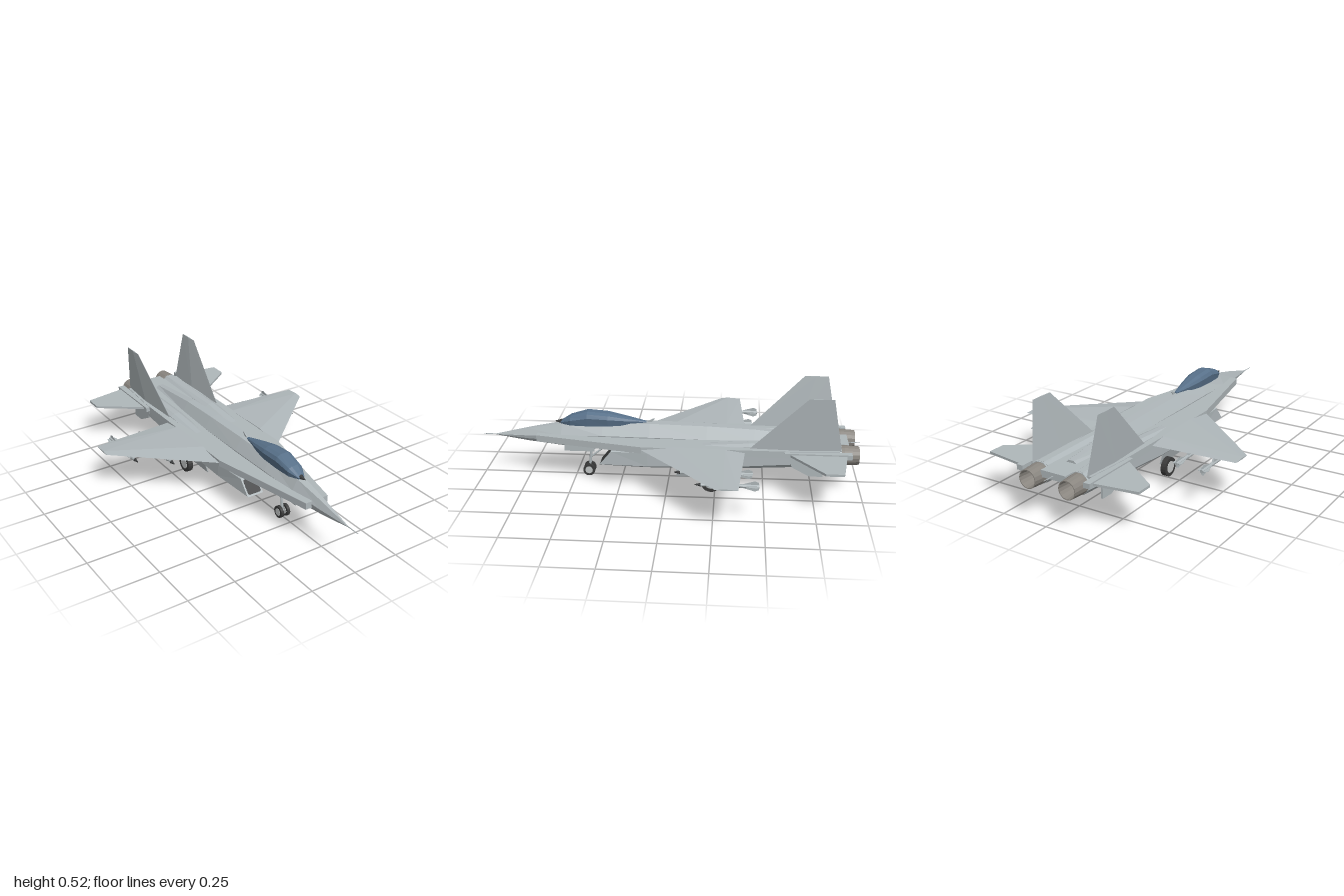
import * as THREE from 'three';
import { ConvexGeometry } from 'three/addons/geometries/ConvexGeometry.js';

const mat = (name, color, side = THREE.FrontSide) =>
  new THREE.MeshStandardMaterial({ name, color, side, flatShading: true });

// Skin over closed rings of [x, y, z], listed front to back, each anticlockwise seen from the front
function loft(rings) {
  const n = rings[0].length, index = [];
  rings.slice(1).forEach((_, i) => {
    for (let j = 0; j < n; j++) {
      const a = i * n + j, b = i * n + (j + 1) % n;
      index.push(a, a + n, b, b, a + n, b + n);
    }
  });
  const last = (rings.length - 1) * n;
  for (let j = 1; j < n - 1; j++) index.push(0, j, j + 1, last, last + j + 1, last + j);
  const g = new THREE.BufferGeometry();
  g.setAttribute('position', new THREE.Float32BufferAttribute(rings.flat(2), 3));
  g.setIndex(index);
  g.computeVertexNormals();
  return g;
}

// Eight-sided ring; chamfer 0.586 gives a regular octagon, slant pushes the lower edge forward
function ring(z, cx, cy, hw, hh, c, slant = 0) {
  const k = 1 - c;
  return [[1, -k], [1, k], [k, 1], [-k, 1], [-1, k], [-1, -k], [-k, -1], [k, -1]]
    .map(([u, v]) => [cx + u * hw, cy + v * hh, z - v * slant]);
}

const hull = (pts) => new ConvexGeometry(pts.map((p) => new THREE.Vector3(...p)));

// Flat plate from a side outline of [y, z] at x, or a plan outline of [x, z] at y
const sidePlate = (x, t, pts) => hull(pts.flatMap(([y, z]) => [[x - t, y, z], [x + t, y, z]]));
const planPlate = (y, t, pts) => hull(pts.flatMap(([x, z]) => [[x, y - t, z], [x, y + t, z]]));

const box = (x0, x1, y0, y1, z0, z1) => new THREE.BoxGeometry(x1 - x0, y1 - y0, z1 - z0)
  .translate((x0 + x1) / 2, (y0 + y1) / 2, (z0 + z1) / 2);

// Round bar from p (radius r0) to q (radius r1)
function rod(p, q, r0, r1 = r0, sides = 10) {
  const a = new THREE.Vector3(...p), b = new THREE.Vector3(...q), d = b.clone().sub(a);
  const g = new THREE.CylinderGeometry(r1, r0, d.length(), sides);
  g.applyQuaternion(new THREE.Quaternion().setFromUnitVectors(new THREE.Vector3(0, 1, 0), d.normalize()));
  return g.translate(...a.add(b).multiplyScalar(0.5).toArray());
}

// Mirror across x = 0, keeping faces outward
function mirror(geo) {
  const g = geo.index ? geo.toNonIndexed() : geo.clone(), p = g.attributes.position;
  for (let i = 0; i < p.count; i += 3) {
    const v = [0, 2, 1].map((k) => new THREE.Vector3().fromBufferAttribute(p, i + k));
    v.forEach((q, k) => p.setXYZ(i + k, -q.x, q.y, q.z));
  }
  g.computeVertexNormals();
  return g;
}

export function createModel() {
  const model = new THREE.Group();
  model.name = 'jetFighter';
  const skin = mat('airframeGrey', 0xafb7ba);
  const glass = mat('canopyBlue', 0x58718a);
  const dark = mat('intakeBlack', 0x3b3c3d, THREE.DoubleSide);
  const rubber = mat('tyreBlack', 0x3a3a3a);
  const hubMat = mat('hubGrey', 0xc3c6c6);
  const metal = mat('nozzleMetal', 0x8a8680, THREE.DoubleSide);
  const add = (name, geo, m) => {
    const mesh = new THREE.Mesh(geo, m);
    mesh.name = name;
    model.add(mesh);
  };
  const pair = (name, geo, m) => {
    add(name + 'Left', geo, m);
    add(name + 'Right', mirror(geo), m);
  };

  // Fuselage: [z, half width, top, middle, bottom]
  const body = [
    [0.93, 0.003, 0.217, 0.215, 0.212], [0.75, 0.027, 0.258, 0.222, 0.186],
    [0.57, 0.05, 0.293, 0.235, 0.168], [0.35, 0.062, 0.302, 0.245, 0.155],
    [0.1, 0.066, 0.308, 0.245, 0.152], [-0.2, 0.062, 0.302, 0.24, 0.165],
    [-0.45, 0.052, 0.29, 0.238, 0.19], [-0.8, 0.035, 0.252, 0.235, 0.21],
  ];
  add('fuselage', loft(body.map(([z, w, t, m, b]) => {
    const low = m + (b - m) * 0.5;
    return [[0.85 * w, low, z], [w, m, z], [0.4 * w, t, z], [-0.4 * w, t, z],
      [-w, m, z], [-0.85 * w, low, z], [-0.3 * w, b, z], [0.3 * w, b, z]];
  })), skin);
  add('nosePitot', rod([0, 0.215, 0.92], [0, 0.215, 1], 0.003, 0.0015, 6), skin);
  add('tailProbe', rod([0, 0.225, -0.92], [0, 0.225, -1], 0.002, 0.002, 6), skin);
  add('noseSensor', rod([0, 0.3, 0.57], [0, 0.3, 0.605], 0.013, 0.002, 8), dark);
  add('spineAntenna', sidePlate(0, 0.002, [[0.3, 0.13], [0.3, 0.1], [0.328, 0.085], [0.328, 0.075]]), skin);

  // Canopy: [z, half width, top, shoulder, sill]
  add('canopy', loft([
    [0.575, 0.018, 0.304, 0.3, 0.292], [0.52, 0.044, 0.338, 0.318, 0.29], [0.43, 0.05, 0.365, 0.335, 0.29],
    [0.32, 0.049, 0.357, 0.33, 0.292], [0.22, 0.032, 0.336, 0.32, 0.296], [0.12, 0.008, 0.313, 0.311, 0.3],
  ].map(([z, w, t, m, b]) => [[0.85 * w, b, z], [w, m, z], [0.8 * w, (m + t * 2) / 3, z], [0.4 * w, t, z],
    [-0.4 * w, t, z], [-0.8 * w, (m + t * 2) / 3, z], [-w, m, z], [-0.85 * w, b, z]])), glass);

  // Flat lifting body with leading edge extensions
  const plan = [[0.065, 0.7], [0.185, 0.13], [0.185, -0.64], [0.17, -0.88], [0.07, -0.88], [0.07, -0.935]];
  const outline = [...plan, ...plan.map(([x, z]) => [-x, z]).reverse()];
  const deck = new THREE.ExtrudeGeometry(
    new THREE.Shape(outline.map(([x, z]) => new THREE.Vector2(x, -z))),
    { depth: 0.035, bevelEnabled: false });
  add('centreDeck', deck.rotateX(-Math.PI / 2).translate(0, 0.205, 0), skin);

  // Wings and tailplanes
  pair('wing', hull([
    [0.18, 0.224, 0.135], [0.18, 0.244, -0.03], [0.18, 0.206, -0.03], [0.18, 0.24, -0.3], [0.18, 0.21, -0.3],
    [0.18, 0.225, -0.4], [0.627, 0.225, -0.26], [0.627, 0.23, -0.3], [0.627, 0.221, -0.3], [0.627, 0.225, -0.37],
  ]), skin);
  pair('tailBoom', box(0.172, 0.207, 0.212, 0.238, -0.94, -0.6), skin);
  pair('tailplane', planPlate(0.225, 0.006,
    [[0.18, -0.61], [0.425, -0.79], [0.425, -0.88], [0.2, -0.915], [0.18, -0.9]]), skin);

  // Outward leaning fins, and small ventral fins
  pair('tailFin', hull([
    [0.155, 0.235, -0.42], [0.144, 0.235, -0.68], [0.167, 0.235, -0.68], [0.155, 0.235, -0.89],
    [0.183, 0.523, -0.71], [0.18, 0.523, -0.77], [0.186, 0.523, -0.77], [0.183, 0.523, -0.835],
  ]), skin);
  pair('ventralFin', sidePlate(0.17, 0.005,
    [[0.215, -0.62], [0.15, -0.64], [0.102, -0.73], [0.102, -0.8], [0.215, -0.8]]), skin);

  // Engine nacelles with slanted intakes, upper humps and nozzles
  pair('nacelle', loft([
    ring(0.32, 0.112, 0.163, 0.047, 0.04, 0.1, 0.033), ring(0.1, 0.118, 0.166, 0.056, 0.046, 0.2),
    ring(-0.3, 0.12, 0.178, 0.06, 0.052, 0.3), ring(-0.6, 0.116, 0.192, 0.058, 0.055, 0.45),
    ring(-0.89, 0.112, 0.2, 0.052, 0.052, 0.586),
  ]), skin);
  pair('intakeOpening', loft([
    ring(0.322, 0.112, 0.162, 0.038, 0.031, 0.15, 0.026), ring(0.314, 0.112, 0.162, 0.038, 0.031, 0.15, 0.026),
  ]), dark);
  pair('engineHump', loft([
    ring(-0.15, 0.115, 0.23, 0.03, 0.008, 0.5), ring(-0.42, 0.112, 0.235, 0.038, 0.02, 0.586),
    ring(-0.88, 0.111, 0.222, 0.043, 0.031, 0.586),
  ]), skin);
  const nozzle = new THREE.LatheGeometry([[0.05, 0], [0.052, 0.04], [0.047, 0.115], [0.043, 0.115], [0.036, 0.03]]
    .map(([r, y]) => new THREE.Vector2(r, y)), 16);
  pair('nozzle', nozzle.rotateX(-Math.PI / 2).translate(0.112, 0.2, -0.867), metal);
  pair('exhaust', rod([0.112, 0.2, -0.895], [0.112, 0.2, -0.9], 0.038, 0.038, 16), dark);

  // Missiles on pylons: [x, y, nose z, tail z]
  [[0.5, 0.19, -0.16, -0.47, 0.027], [0.345, 0.181, -0.05, -0.44, 0.026]].forEach(([x, y, nose, tail, span], i) => {
    const id = i ? 'inner' : 'outer';
    pair(id + 'Missile', rod([x, y, tail], [x, y, nose - 0.03], 0.009), skin);
    pair(id + 'MissileNose', rod([x, y, nose - 0.03], [x, y, nose], 0.009, 0.002), dark);
    pair(id + 'Pylon', sidePlate(x, 0.005,
      [[y, nose - 0.08], [y, tail + 0.1], [0.223, tail + 0.12], [0.223, nose - 0.06]]), skin);
    const finSets = [[tail + 0.002, tail + 0.02, tail + 0.085, span], [nose - 0.09, nose - 0.08, nose - 0.05, 0.02]];
    finSets.forEach(([back, wide, front, s], k) => {
      const shape = [[-0.7 * s, back], [0.7 * s, back], [s, wide], [-s, wide], [0.3 * s, front], [-0.3 * s, front]];
      const name = id + (k ? 'MissileCanard' : 'MissileFin');
      pair(name + 'Flat', planPlate(y, 0.001, shape.map(([u, z]) => [x + u, z])), skin);
      pair(name + 'Upright', sidePlate(x, 0.001, shape.map(([u, z]) => [y + u, z])), skin);
    });
  });

  // Landing gear
  const wheel = (name, x, y, z, r, w) => {
    pair(name + 'Tyre', rod([x - w, y, z], [x + w, y, z], r, r, 20), rubber);
    pair(name + 'Hub', rod([x - w - 0.002, y, z], [x + w + 0.002, y, z], r * 0.62, r * 0.62, 16), hubMat);
  };
  wheel('mainWheel', 0.17, 0.05, -0.23, 0.05, 0.014);
  wheel('noseWheel', 0.019, 0.032, 0.43, 0.032, 0.008);
  pair('mainStrut', rod([0.115, 0.14, -0.2], [0.152, 0.05, -0.23], 0.008), skin);
  pair('mainAxle', rod([0.148, 0.05, -0.23], [0.17, 0.05, -0.23], 0.008), skin);
  pair('mainBrace', rod([0.13, 0.14, -0.1], [0.148, 0.07, -0.22], 0.005), skin);
  pair('mainGearDoor', hull([-0.05, -0.26].flatMap((z) =>
    [[0.158, 0.135, z], [0.163, 0.135, z], [0.138, 0.065, z], [0.143, 0.065, z]])), skin);
  add('noseStrut', rod([0, 0.17, 0.415], [0, 0.032, 0.43], 0.007), skin);
  add('noseBrace', rod([0, 0.165, 0.34], [0, 0.1, 0.42], 0.005), skin);
  add('noseAxle', rod([-0.02, 0.032, 0.43], [0.02, 0.032, 0.43], 0.006), skin);
  pair('noseGearDoor', sidePlate(0.017, 0.002, [[0.185, 0.56], [0.137, 0.56], [0.137, 0.4], [0.185, 0.4]]), skin);
  return model;
}
